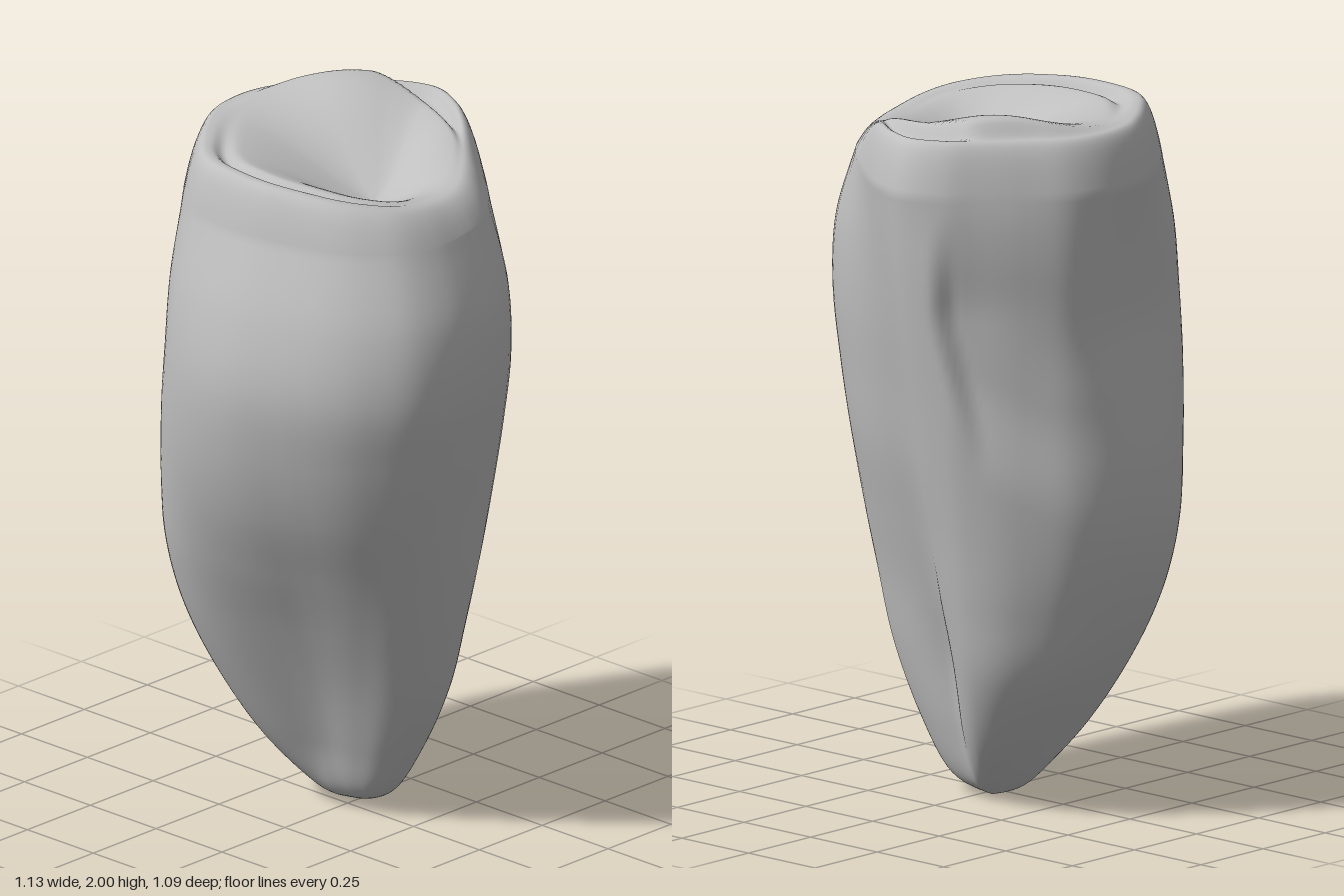
import * as THREE from 'three';

const SEG = 180, STEPS = 8, CAP = 50;
const CX = -0.03, CZ = -0.05; // axis of the shell, through its lower tip

// Plan outline (x, z), from +x round through +z
const OUTLINE = [
  [0.565, 0.08], [0.56, 0.18], [0.52, 0.285], [0.43, 0.38], [0.35, 0.435], [0.2, 0.5],
  [0.06, 0.54], [-0.075, 0.54], [-0.225, 0.5], [-0.32, 0.43], [-0.41, 0.31], [-0.49, 0.18],
  [-0.545, 0.06], [-0.56, -0.1], [-0.525, -0.225], [-0.44, -0.335], [-0.345, -0.435],
  [-0.255, -0.51], [-0.14, -0.545], [-0.03, -0.51], [0.08, -0.45], [0.215, -0.365],
  [0.35, -0.275], [0.46, -0.18], [0.535, -0.06],
];

// Each row: height, then reach from the origin toward
// +x, +x+z, +z, -x+z, -x, -x-z, -z, +x-z
const LEVELS = [
  [0.05, 0.12, 0.07, 0.05, 0.09, 0.15, 0.15, 0.13, 0.12],
  [0.2, 0.23, 0.16, 0.14, 0.24, 0.275, 0.29, 0.21, 0.20],
  [0.4, 0.33, 0.255, 0.24, 0.37, 0.41, 0.42, 0.275, 0.27],
  [0.6, 0.39, 0.34, 0.33, 0.46, 0.50, 0.48, 0.335, 0.315],
  [0.8, 0.44, 0.42, 0.41, 0.505, 0.555, 0.52, 0.38, 0.36],
  [1.0, 0.485, 0.50, 0.48, 0.515, 0.565, 0.54, 0.42, 0.40],
  [1.2, 0.53, 0.56, 0.53, 0.515, 0.54, 0.55, 0.455, 0.43],
  [1.4, 0.56, 0.595, 0.545, 0.505, 0.51, 0.555, 0.49, 0.45],
  [1.6, 0.54, 0.565, 0.505, 0.49, 0.515, 0.555, 0.52, 0.44],
  [1.8, 0.45, 0.475, 0.425, 0.455, 0.53, 0.53, 0.54, 0.39],
];

const step = (a, b, v) => {
  const t = THREE.MathUtils.clamp((v - a) / (b - a), 0, 1);
  return t * t * (3 - 2 * t);
};
const bump = (d, w) => Math.exp(-(d * d) / (w * w));
const wrap = (a) => Math.atan2(Math.sin(a), Math.cos(a));
const angles = Array.from({ length: SEG }, (_, j) => j / SEG * Math.PI * 2);
const dirs = Array.from({ length: 8 }, (_, k) => k * Math.PI / 4);

// Distance of the smoothed plan outline from the axis, at every angle
const curve = new THREE.CatmullRomCurve3(
  OUTLINE.map(([x, z]) => new THREE.Vector3(x - CX, 0, z - CZ)), true);
const samples = curve.getPoints(1500);
const plan = angles.map((a) => {
  const off = (p) => Math.abs(wrap(Math.atan2(p.z, p.x) - a));
  const p = samples.reduce((best, q) => (off(q) < off(best) ? q : best));
  return Math.hypot(p.x, p.z);
});

// How strongly each of the eight directions scales the outline at every angle
const weights = angles.map((a) => {
  const w = dirs.map((d) => bump(wrap(a - d), 0.6));
  const sum = w.reduce((m, v) => m + v);
  return w.map((v) => v / sum);
});
const ringOf = (scale) => plan.map((r, j) => r * weights[j].reduce((m, w, k) => m + w * scale[k], 0));

// One ring: height followed by radii, the outline scaled until it has the wanted reach
function fitRow([y, ...reach]) {
  const goal = reach.map((h, k) => h - CX * Math.cos(dirs[k]) - CZ * Math.sin(dirs[k]));
  const scale = new Array(8).fill(y > 0.3 ? 0.8 : 0.3);
  for (let pass = 0; pass < 7; pass++) {
    const ring = ringOf(scale);
    dirs.forEach((d, k) => {
      const now = Math.max(...ring.map((r, j) => r * Math.cos(angles[j] - d)));
      scale[k] *= (goal[k] / now) ** 0.7;
    });
  }
  return [y, ...ringOf(scale)];
}

const rows = [new Array(SEG + 1).fill(0), ...LEVELS.map(fitRow)];

// Smooth cubic blend between rows
function rowAt(t) {
  const i = Math.min(Math.floor(t), rows.length - 2), f = t - i;
  const get = (n) => rows[THREE.MathUtils.clamp(n, 0, rows.length - 1)];
  const [p, q, r, s] = [get(i - 1), get(i), get(i + 1), get(i + 2)];
  return q.map((v, k) => v + 0.5 * f * (r[k] - p[k]
    + f * (2 * p[k] - 5 * v + 4 * r[k] - s[k] + f * (3 * (v - r[k]) + s[k] - p[k]))));
}

// Long fold beside the outer lip: abrupt at the lip, fading away from it
function fold(angle, y) {
  const deg = THREE.MathUtils.radToDeg(angle);
  const lip = 248 - 12 * step(1.5, 1.0, y);
  const low = 0.92 + 0.004 * (deg - 215);
  return 0.04 * step(lip, lip - 8, deg) * step(lip - 60, lip - 10, deg)
    * step(low, low + 0.3, y) * step(1.78, 1.45, y);
}

// How far toward +x the angle points: the rim is low and broad there
const shoulder = (a) => bump(wrap(a + 0.1), 0.9);

// Height of the coiled top: rolled rim, bowl, raised inner whorl and grooves
function topHeight(x, z, s, a) {
  const width = 0.13 + 0.1 * shoulder(a);
  const crest = 1.95 - 0.075 * shoulder(a);
  const t = (1 - s) / width;
  if (t < 1) return 1.8 + (crest - 1.8) * (1 - (1 - t) ** 2.1);
  const inner = s / (1 - width);
  const bowl = 1.8 + (crest - 1.8) * Math.sin(inner * Math.PI / 2) ** 1.5;
  const inset = step(1, 0.9, inner);
  // Whorl crest ends at a curved edge, with a groove between it and the back rim
  const edge = -0.385 + 0.9 * (x + 0.17) ** 2;
  const within = step(edge - 0.02, edge + 0.02, z);
  const whorl = 0.06 * bump(x + 0.23, 0.25) * bump(z + 0.27, 0.2) * within;
  const groove = 0.03 * bump(x + 0.05, 0.25) * (1 - within) * step(0, -0.2, z);
  const slot = 0.035 * bump(inner - 0.88, 0.05) * bump(a - 1.57, 0.75);
  return bowl + inset * (whorl - groove - slot);
}

function shellGeometry() {
  const pos = [], index = [];
  let ringCount = 0;
  const addRing = (fn) => {
    angles.forEach((a, j) => pos.push(...fn(a, j)));
    ringCount++;
  };
  // Outer wall, tip to shoulder
  const n = (rows.length - 1) * STEPS;
  for (let i = 0; i <= n; i++) {
    const [height, ...ring] = rowAt(i / STEPS);
    const y = Math.max(height, 0);
    addRing((a, j) => {
      const r = Math.max(ring[j], 0) - fold(a, y);
      return [CX + r * Math.cos(a), y, CZ + r * Math.sin(a)];
    });
  }
  // Rolled rim and hollow top, its deepest point set toward +x
  const last = rows[rows.length - 1];
  for (let i = 1; i <= CAP; i++) {
    const s = 1 - (i / CAP) ** 1.3;
    const drift = step(0.9, 0, s);
    addRing((a, j) => {
      const r = last[j + 1] * s;
      const x = CX + 0.12 * drift + r * Math.cos(a);
      const z = CZ + 0.04 * drift + r * Math.sin(a);
      return [x, topHeight(x, z, s, a), z];
    });
  }
  for (let i = 0; i < ringCount - 1; i++) {
    for (let j = 0; j < SEG; j++) {
      const k = (j + 1) % SEG;
      const a = i * SEG + j, b = i * SEG + k, c = a + SEG, d = b + SEG;
      index.push(a, c, b, b, c, d);
    }
  }
  const g = new THREE.BufferGeometry();
  g.setAttribute('position', new THREE.Float32BufferAttribute(pos, 3));
  g.setIndex(index);
  g.computeVertexNormals();
  return g;
}

export function createModel() {
  const group = new THREE.Group();
  group.name = 'bubbleShell';
  const grey = new THREE.MeshStandardMaterial({ color: 0xbfbfbf });
  grey.name = 'shell grey';
  const shell = new THREE.Mesh(shellGeometry(), grey);
  shell.name = 'shell';
  group.add(shell);
  return group;
}
